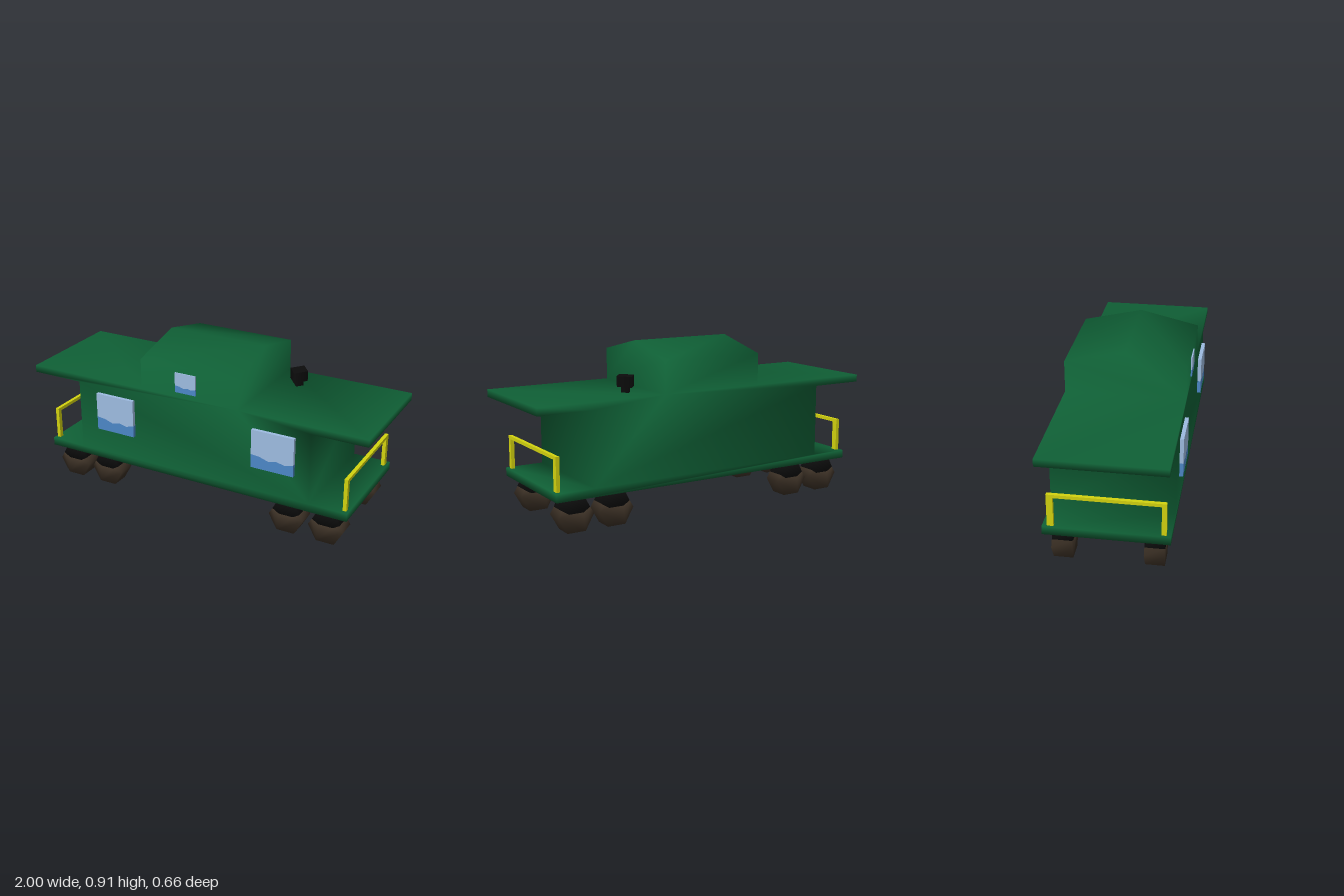
import * as THREE from 'three';
import { mergeVertices, mergeGeometries } from 'three/addons/utils/BufferGeometryUtils.js';

const mat = (name, color) => Object.assign(new THREE.MeshStandardMaterial({ color }), { name });
const green = mat('bodyGreen', 0x0f5f35);
const yellow = mat('railYellow', 0xd2d20f);
const brown = mat('wheelBrown', 0x3a2f24);
const black = mat('ironBlack', 0x0c0c0c);
const paleBlue = mat('glassPale', 0x9dbbe0);
const deepBlue = mat('glassDeep', 0x4c86c6);

// Prism from an outline in x/y, running from z0 to z1
function prism(points, z0, z1) {
  const shape = new THREE.Shape(points.map(([x, y]) => new THREE.Vector2(x, y)));
  return new THREE.ExtrudeGeometry(shape, { depth: z1 - z0, bevelEnabled: false }).translate(0, 0, z0);
}

// Weld corners so shading flows softly across edges
function soften(geometry) {
  geometry.deleteAttribute('normal');
  geometry.deleteAttribute('uv');
  const welded = mergeVertices(geometry, 1e-4);
  welded.computeVertexNormals();
  return welded;
}

function add(parent, name, geometry, material) {
  const mesh = new THREE.Mesh(geometry, material);
  mesh.name = name;
  parent.add(mesh);
  return mesh;
}

function box(x0, x1, y0, y1, z0, z1) {
  return new THREE.BoxGeometry(x1 - x0, y1 - y0, z1 - z0)
    .translate((x0 + x1) / 2, (y0 + y1) / 2, (z0 + z1) / 2);
}

export function createModel() {
  const wagon = new THREE.Group();
  wagon.name = 'railWagon';
  const back = -0.33, front = 0.31;

  // Platform, cabin and overhanging roof as one profile, with the cupola welded on top
  const half = [[0.91, 0.18], [0.91, 0.225], [0.7, 0.225], [0.7, 0.62], [1, 0.62], [1, 0.66], [0.29, 0.66]];
  const outline = [...half, ...half.map(([x, y]) => [-x, y]).reverse()];
  const cupola = prism(
    [[-front, 0.66], [-back, 0.66], [-back, 0.833], [0.01, 0.907], [-front, 0.833]], 0, 0.58)
    .rotateY(Math.PI / 2).translate(-0.29, 0, 0);
  add(wagon, 'body', soften(mergeGeometries([prism(outline, back, front), cupola])), green);

  // Windows on the front wall, each with a darker wavy lower part
  const addWindow = (name, x0, x1, y0, y1, z1) => {
    const group = new THREE.Group();
    group.name = name;
    const w = x1 - x0, h = y1 - y0;
    const wave = [[0, 0.35], [0.2, 0.33], [0.42, 0.25], [0.6, 0.3], [0.8, 0.25], [1, 0.31]]
      .map(([u, v]) => [x0 + u * w, y0 + v * h]);
    add(group, 'upperPane', prism([...wave, [x1, y1], [x0, y1]], front, z1), paleBlue);
    add(group, 'lowerPane', prism([[x0, y0], [x1, y0], ...[...wave].reverse()], front, z1), deepBlue);
    wagon.add(group);
  };
  addWindow('rightWindow', -0.575, -0.34, 0.368, 0.582, 0.33);
  addWindow('leftWindow', 0.377, 0.617, 0.368, 0.582, 0.33);
  addWindow('cupolaWindow', -0.078, 0.045, 0.69, 0.8, 0.317);

  // Safety rails on both end platforms
  for (const side of [-1, 1]) {
    const rail = new THREE.Group();
    rail.name = side < 0 ? 'rightRail' : 'leftRail';
    const x0 = side * 0.888 - 0.01, x1 = side * 0.888 + 0.01;
    add(rail, 'frontPost', box(x0, x1, 0.222, 0.387, 0.263, 0.288), yellow);
    add(rail, 'backPost', box(x0, x1, 0.222, 0.387, -0.305, -0.272), yellow);
    add(rail, 'topBar', box(x0, x1, 0.387, 0.405, -0.305, 0.288), yellow);
    wagon.add(rail);
  }

  // Six-sided wheels with a black upper section
  const tread = prism([[-0.05, 0.002], [0.05, 0.002], [0.098, 0.087], [0.077, 0.123],
    [0.04, 0.1], [-0.04, 0.1], [-0.077, 0.123], [-0.098, 0.087]], -0.05, 0.05);
  const crown = prism([[-0.077, 0.123], [-0.04, 0.1], [0.04, 0.1], [0.077, 0.123],
    [0.05, 0.174], [-0.05, 0.174]], -0.05, 0.05);
  const treadSoft = soften(tread), crownSoft = soften(crown);
  for (const x of [-0.79, -0.567, 0.56, 0.786]) {
    for (const z of [0.225, -0.241]) {
      const wheel = new THREE.Group();
      wheel.name = 'wheel';
      wheel.position.set(x, 0, z);
      add(wheel, 'wheelTread', treadSoft, brown);
      add(wheel, 'wheelCrown', crownSoft, black);
      wagon.add(wheel);
    }
  }

  // Diamond-shaped chimney
  const chimney = new THREE.Group();
  chimney.name = 'chimney';
  chimney.position.set(0.423, 0, -0.15);
  add(chimney, 'chimneyNeck', new THREE.CylinderGeometry(0.035, 0.035, 0.04, 4)
    .scale(0.78, 1, 1).translate(0, 0.675, 0), black);
  add(chimney, 'chimneyCap', new THREE.CylinderGeometry(0.066, 0.066, 0.056, 4)
    .scale(0.78, 1, 1).translate(0, 0.719, 0), black);
  wagon.add(chimney);

  return wagon;
}
